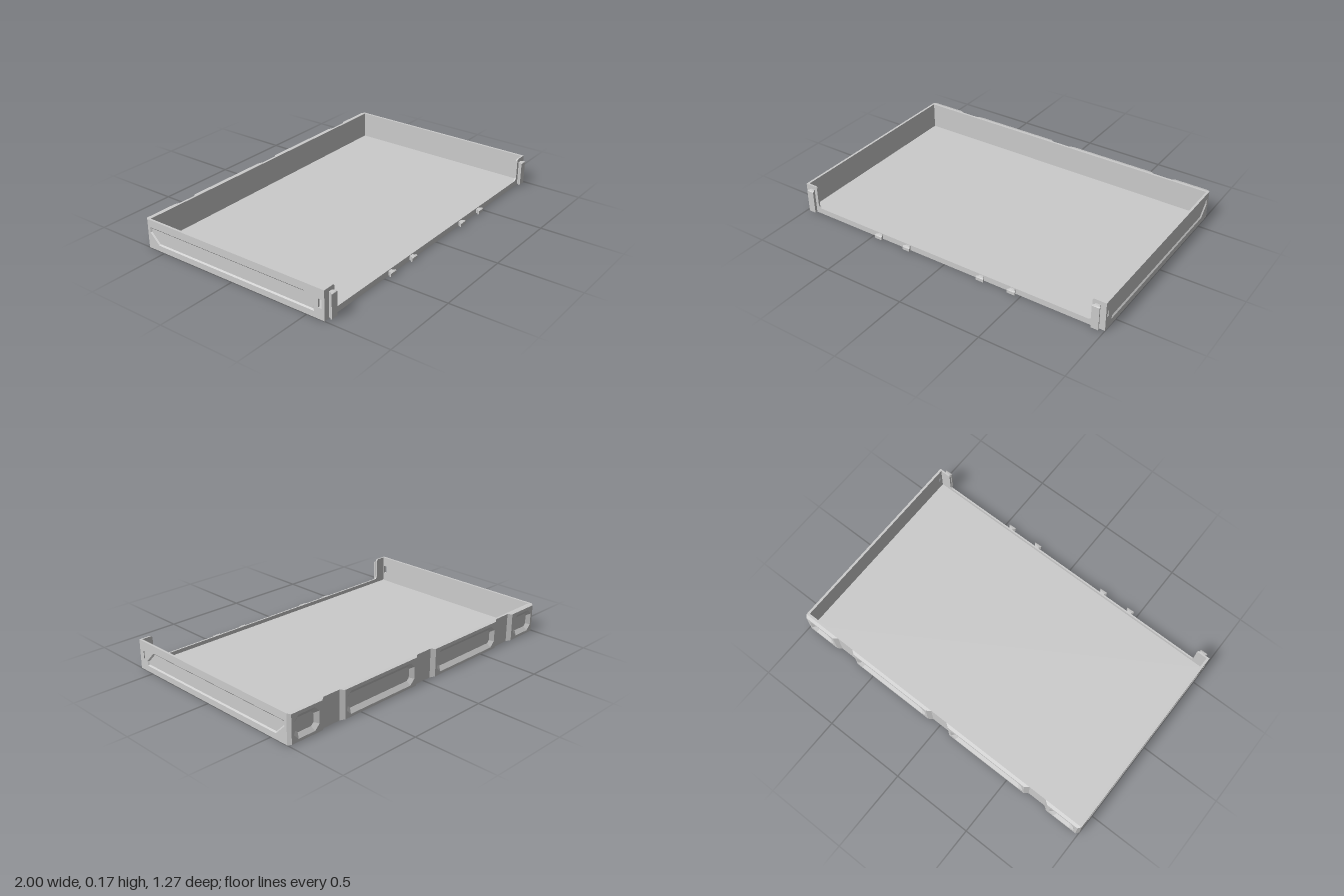
import * as THREE from 'three';

const H = 0.175, WALL = 0.014, FRONT = 0.61, BACK = -0.617, REAR = -0.635;
const material = new THREE.MeshStandardMaterial({ color: 0xcccccc, flatShading: true });
const toShape = (pts) => new THREE.Shape(pts.map(([x, y]) => new THREE.Vector2(x, y)));
const rect = (x0, y0, x1, y1) => [[x0, y0], [x1, y0], [x1, y1], [x0, y1]];

function extrude(shape, depth, holes = []) {
  holes.forEach((h) => shape.holes.push(toShape(h)));
  return new THREE.ExtrudeGeometry(shape, { depth, bevelEnabled: false, curveSegments: 6 });
}

// Shrinks a convex counter-clockwise polygon by moving every edge inward
function inset(pts, d) {
  const n = pts.length;
  return pts.map((p, i) => {
    const a = pts[(i + n - 1) % n], b = pts[(i + 1) % n];
    const u = new THREE.Vector2(p[0] - a[0], p[1] - a[1]).normalize();
    const v = new THREE.Vector2(b[0] - p[0], b[1] - p[1]).normalize();
    const k = d / (1 + u.dot(v));
    return [p[0] - (u.y + v.y) * k, p[1] + (u.x + v.x) * k];
  });
}

// Sloped border of a recess, from its rim at z = depth to its floor at z = 0
function slopedRim(points, width, depth) {
  const clockwise = THREE.ShapeUtils.isClockWise(points.map(([x, y]) => ({ x, y })));
  const rim = clockwise ? [...points].reverse() : points;
  const base = inset(rim, width), pos = [];
  rim.forEach((p, i) => {
    const j = (i + 1) % rim.length;
    const a = [...p, depth], b = [...rim[j], depth], c = [...base[j], 0], d = [...base[i], 0];
    pos.push(...a, ...b, ...c, ...a, ...c, ...d);
  });
  const g = new THREE.BufferGeometry();
  g.setAttribute('position', new THREE.Float32BufferAttribute(pos, 3));
  g.computeVertexNormals();
  return g;
}

export function createModel() {
  const model = new THREE.Group();
  const add = (parent, name, geometry) => {
    const mesh = new THREE.Mesh(geometry, material);
    mesh.name = name;
    parent.add(mesh);
    return mesh;
  };
  const group = (name) => {
    const g = new THREE.Group();
    g.name = name;
    model.add(g);
    return g;
  };

  // Floor plate
  const floorDepth = FRONT - 0.01 - BACK;
  add(model, 'floor', new THREE.BoxGeometry(2 - 2 * WALL, 0.012, floorDepth))
    .position.set(0, 0.006, (FRONT - 0.01 + BACK) / 2);

  // Side walls: solid inner skin, outer skin with a recessed panel, slot through both
  const skin = 0.007;
  for (const s of [1, -1]) {
    const side = group(s > 0 ? 'leftWall' : 'rightWall');
    const map = (pts) => pts.map(([z, y]) => [-s * z, y]);
    const outline = map(rect(BACK, 0, FRONT, H));
    const slot = map(rect(0.57, 0.065, 0.593, 0.115));
    const panel = map([[0.545, 0.035], [0.545, 0.065], [0.48, 0.13], [-0.6, 0.13], [-0.6, 0.098], [-0.537, 0.035]]);
    add(side, 'innerSkin', extrude(toShape(outline), WALL - skin, [slot]));
    add(side, 'outerSkin', extrude(toShape(outline), skin, [slot, panel])).position.z = WALL - skin;
    add(side, 'panelRim', slopedRim(panel, 0.008, skin)).position.z = WALL - skin;
    side.rotation.y = s * Math.PI / 2;
    side.position.x = s * (1 - WALL);
  }

  // Front wall: low lip with a tall rounded post at each end
  const px = 0.92, lip = 0.035, r = 0.022, edge = 1 - WALL;
  const front = new THREE.Shape();
  front.moveTo(-edge, 0);
  front.lineTo(edge, 0);
  front.lineTo(edge, H);
  front.lineTo(px + 0.015, H);
  front.quadraticCurveTo(px, H, px, H - 0.015);
  front.lineTo(px, lip + r);
  front.quadraticCurveTo(px, lip, px - r, lip);
  front.lineTo(-px + r, lip);
  front.quadraticCurveTo(-px, lip, -px, lip + r);
  front.lineTo(-px, H - 0.015);
  front.quadraticCurveTo(-px, H, -px - 0.015, H);
  front.lineTo(-edge, H);
  add(model, 'frontWall', extrude(front, 0.01)).position.z = FRONT - 0.01;

  // Dovetail lugs on the front, wider at the outside
  const lugs = group('frontLugs');
  const addLug = (name, x, y0, y1, w) => {
    const plan = [[-w * 0.28, 0], [w * 0.28, 0], [w * 0.28, -0.007], [w / 2, -0.018],
      [w / 2, -0.025], [-w / 2, -0.025], [-w / 2, -0.018], [-w * 0.28, -0.007]];
    const g = extrude(toShape(plan), y1 - y0).rotateX(-Math.PI / 2);
    // Ease the outer top and bottom edges
    const p = g.attributes.position;
    for (let i = 0; i < p.count; i++) {
      if (p.getZ(i) > 0.024) p.setY(i, p.getY(i) + (p.getY(i) > 0.01 ? -0.004 : 0.004));
    }
    g.computeVertexNormals();
    add(lugs, name, g).position.set(x, y0, FRONT);
  };
  for (const s of [1, -1]) {
    addLug('tallLug', s * 0.952, 0.005, 0.152, 0.045);
    addLug('smallLug', s * 0.25, 0.004, 0.03, 0.048);
    addLug('smallLug', s * 0.45, 0.004, 0.03, 0.048);
  }

  // Back wall: a plate carrying four blocks, with guide slots between them
  const back = group('backWall');
  back.rotation.y = Math.PI;
  back.position.z = BACK;
  add(back, 'backPlate', extrude(toShape(rect(-edge, 0, edge, H)), WALL)).position.z = -WALL;
  const depth = BACK - REAR;
  const blocks = [
    { inner: [-1, -0.755], outer: [-0.985, -0.78], pocket: [-0.97, -0.8] },
    { inner: [-0.645, -0.055], outer: [-0.62, -0.08], pocket: [-0.61, -0.095] },
  ];
  const flip = ([a, b]) => [-b, -a];
  for (const b of [...blocks]) {
    blocks.push({ inner: flip(b.inner), outer: flip(b.outer), pocket: flip(b.pocket) });
  }
  for (const { inner, outer, pocket } of blocks) {
    const [x0, x1] = pocket, y0 = 0.02, y1 = 0.152, c = 0.03;
    const hole = [[x0 + c, y0], [x1 - c, y0], [x1, y0 + c], [x1, y1 - c],
      [x1 - c, y1], [x0 + c, y1], [x0, y1 - c], [x0, y0 + c]];
    const g = extrude(toShape(rect(inner[0], 0, inner[1], H)), depth, [hole]);
    // Slant the slot sides and chamfer the outer edges
    const p = g.attributes.position;
    for (let i = 0; i < p.count; i++) {
      if (p.getZ(i) < depth / 2) continue;
      inner.forEach((x, k) => { if (Math.abs(p.getX(i) - x) < 1e-4) p.setX(i, outer[k]); });
      if (p.getY(i) < 1e-4) p.setY(i, 0.004);
      else if (p.getY(i) > H - 1e-4) p.setY(i, H - 0.004);
    }
    g.computeVertexNormals();
    add(back, 'backBlock', g);
    add(back, 'pocketRim', slopedRim(hole, 0.025, depth));
  }
  return model;
}
